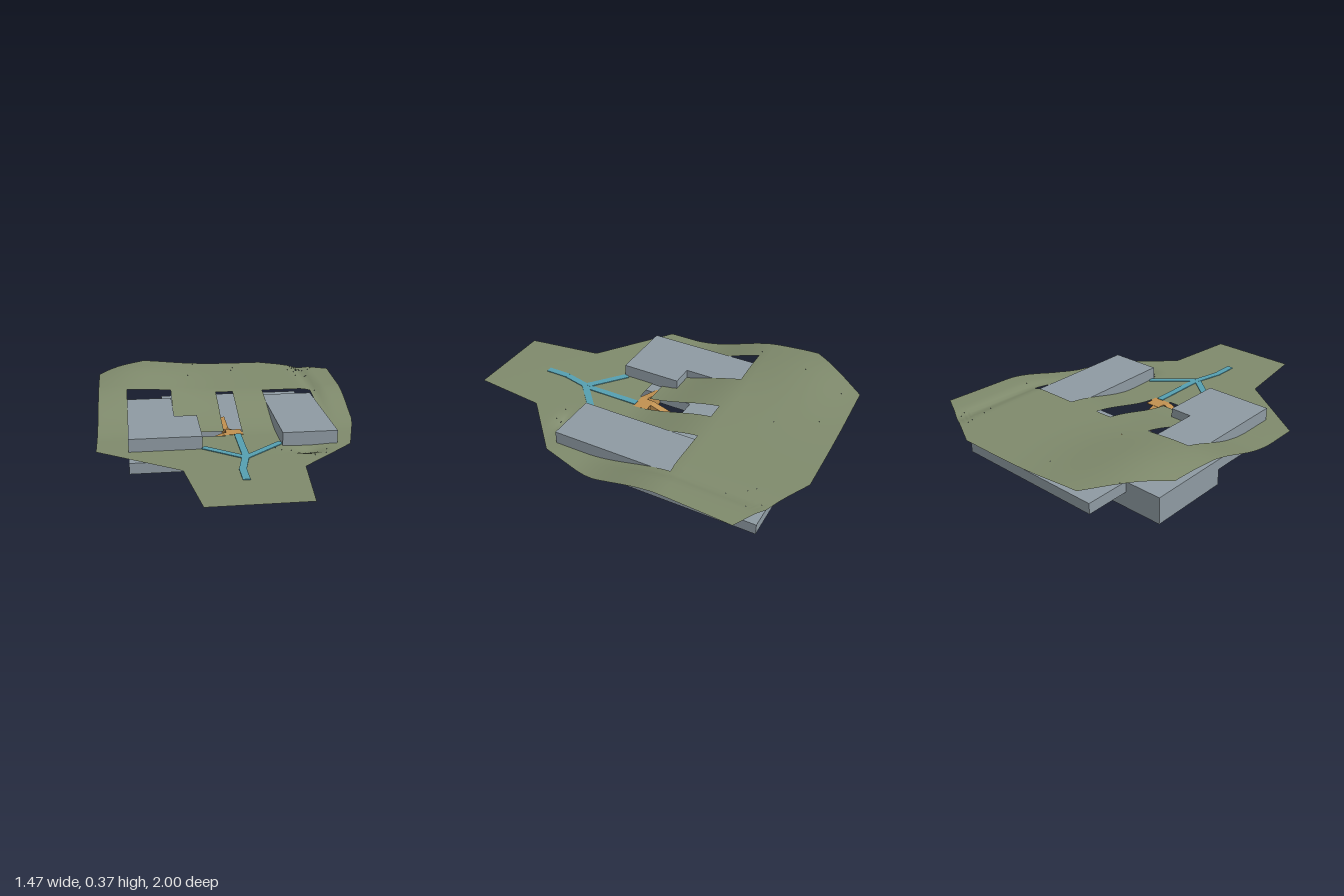
import * as THREE from 'three';

const mat = (name, color) => new THREE.MeshStandardMaterial({ name, color });

// Hillside outline: z with its left and right x limits, from back to front
const OUTLINE = [
  [-1, -0.46, 0.31], [-0.79, -0.632, 0.73], [-0.67, -0.735, 0.723], [-0.03, -0.735, 0.69],
  [0.03, -0.735, 0.678], [0.28, -0.735, 0.602], [0.32, -0.678, 0.59], [0.58, -0.31, 0.31],
  [0.6, -0.307, 0.29], [1, -0.25, 0.25],
];
// Openings in the ground: x0, x1, z0, z1
const HOLES = [
  [-0.57, -0.315, -0.37, 0.3], [-0.315, -0.19, -0.035, 0.3], [-0.19, -0.05, 0.06, 0.123],
  [-0.05, 0.05, -0.36, 0.11], [0.23, 0.523, -0.37, 0.3],
];

const step = (a, b, v) => THREE.MathUtils.smoothstep(v, a, b);
const bell = (v, c, w) => Math.exp(-(((v - c) / w) ** 2));

// Slope up to the back, a broad hill, a shallow groove and a small pit
function height(x, z) {
  const rise = step(-0.12, 0.42, -z);
  const hill = 0.065 * bell(x, -0.55, x < -0.55 ? 0.31 : 0.33) * step(0.05, 0.68, -z) * (1 - 0.4 * step(0.7, 1.05, -z));
  const groove = 0.016 * bell(x, 0.54, 0.04) * rise;
  const pit = 0.026 * bell(x, 0.36, 0.08) * bell(z, 0.36, 0.05);
  return 0.21 + 0.1 * rise + hill - groove - pit;
}

function limits(z) {
  let i = 0;
  while (i < OUTLINE.length - 2 && z > OUTLINE[i + 1][0]) i++;
  const [za, la, ra] = OUTLINE[i], [zb, lb, rb] = OUTLINE[i + 1];
  const t = (z - za) / (zb - za);
  return [la + (lb - la) * t, ra + (rb - ra) * t];
}

// Ground sheet built in rows, skipping the openings
function groundGeometry() {
  const cuts = [...OUTLINE.map(o => o[0]), ...HOLES.flatMap(h => [h[2], h[3]])];
  for (let i = 0; i <= 66; i++) cuts.push(-1 + i / 33);
  const zs = cuts.sort((a, b) => a - b).filter((z, i, all) => i === 0 || z - all[i - 1] > 1e-6);
  const pos = [], nor = [], e = 0.002;
  const put = (x, z) => {
    pos.push(x, height(x, z), z);
    const n = new THREE.Vector3(height(x - e, z) - height(x + e, z), 2 * e, height(x, z - e) - height(x, z + e)).normalize();
    nor.push(n.x, n.y, n.z);
  };
  for (let i = 0; i < zs.length - 1; i++) {
    const z0 = zs[i], z1 = zs[i + 1], mid = (z0 + z1) / 2;
    const [l0, r0] = limits(z0), [l1, r1] = limits(z1);
    const edges = [[l0, l1]];
    HOLES.filter(h => mid > h[2] && mid < h[3]).sort((a, b) => a[0] - b[0])
      .forEach(h => edges.push([h[0], h[0]], [h[1], h[1]]));
    edges.push([r0, r1]);
    for (let k = 0; k < edges.length; k += 2) {
      const [a0, a1] = edges[k], [b0, b1] = edges[k + 1];
      const n = Math.ceil((b0 - a0) / 0.025);
      if (n < 1) continue;
      for (let j = 0; j < n; j++) {
        const t = j / n, u = (j + 1) / n;
        const p = [a0 + (b0 - a0) * t, z0], q = [a0 + (b0 - a0) * u, z0];
        const r = [a1 + (b1 - a1) * t, z1], s = [a1 + (b1 - a1) * u, z1];
        [p, r, q, q, r, s].forEach(v => put(v[0], v[1]));
      }
    }
  }
  const g = new THREE.BufferGeometry();
  g.setAttribute('position', new THREE.Float32BufferAttribute(pos, 3));
  g.setAttribute('normal', new THREE.Float32BufferAttribute(nor, 3));
  return g;
}

const shapeOf = pts => new THREE.Shape(pts.map(p => new THREE.Vector2(p[0], p[1])));
const extrude = (pts, depth) => new THREE.ExtrudeGeometry(shapeOf(pts), { depth, bevelEnabled: false });

export function createModel() {
  const model = new THREE.Group();
  const grass = mat('grass green', 0x7f8a6c);
  grass.side = THREE.DoubleSide;
  const stone = mat('building grey', 0x8e9aa2);
  const ramp = mat('ramp orange', 0xc09050);
  const path = mat('path blue', 0x559fb0);

  const add = (name, geometry, material) => {
    const m = new THREE.Mesh(geometry, material);
    m.name = name;
    model.add(m);
    return m;
  };
  const box = (name, material, x0, x1, y0, y1, z0, z1) =>
    add(name, new THREE.BoxGeometry(x1 - x0, y1 - y0, z1 - z0), material)
      .position.set((x0 + x1) / 2, (y0 + y1) / 2, (z0 + z1) / 2);

  add('ground', groundGeometry(), grass);

  // Upper buildings set into the openings
  const l = [[-0.57, -0.303], [-0.19, -0.303], [-0.19, 0.035], [-0.315, 0.035], [-0.315, 0.37], [-0.57, 0.37]];
  add('upperRightBuilding', extrude(l, 0.075).rotateX(-Math.PI / 2), stone).position.y = 0.205;
  box('upperLeftBuilding', stone, 0.23, 0.523, 0.205, 0.28, -0.37, 0.303);

  // Buried floors
  box('lowerHall', stone, -0.356, 0.523, 0.09, 0.15, -0.83, -0.12);
  box('lowerWing', stone, -0.57, -0.19, 0.09, 0.15, -0.58, 0.307);
  box('basement', stone, -0.57, -0.19, 0, 0.09, -0.58, -0.115);

  // Ramps from the entrance down to the buried floors
  const sideRamp = [[-0.22, 0.15], [-0.19, 0.15], [-0.19, 0.09], [-0.055, 0.09], [-0.055, 0.21]];
  add('sideRamp', extrude(sideRamp, 0.04), ramp).position.z = 0.073;
  const backRamp = [[-0.16, 0.15], [-0.12, 0.15], [-0.12, 0.09], [0.03, 0.09], [0.03, 0.21]];
  add('backRamp', extrude(backRamp, 0.04).rotateY(-Math.PI / 2), ramp);
  box('hallWalkway', ramp, -0.04, 0, 0.15, 0.154, -0.355, -0.15);
  box('entrancePost', ramp, -0.037, 0.002, 0.09, 0.207, 0.073, 0.113);
  box('entranceLanding', ramp, -0.055, 0.05, 0.206, 0.211, 0.073, 0.113);
  box('landingBack', ramp, -0.04, 0.045, 0.206, 0.211, 0.03, 0.073);

  // Branching footpath laid on the ground
  const segments = [
    [0.018, 0.11, 0.018, 0.45], [0.015, 0.45, -0.188, 0.288], [0.015, 0.45, 0.23, 0.262],
    [0.015, 0.44, -0.022, 0.6], [-0.022, 0.592, -0.022, 0.73],
  ];
  segments.forEach(([x0, z0, x1, z1], i) => {
    const m = add('footpath' + (i + 1), new THREE.BoxGeometry(0.037, 0.004, Math.hypot(x1 - x0, z1 - z0)), path);
    m.position.set((x0 + x1) / 2, 0.212 + i * 0.0002, (z0 + z1) / 2);
    m.rotation.y = Math.atan2(x1 - x0, z1 - z0);
  });
  return model;
}
